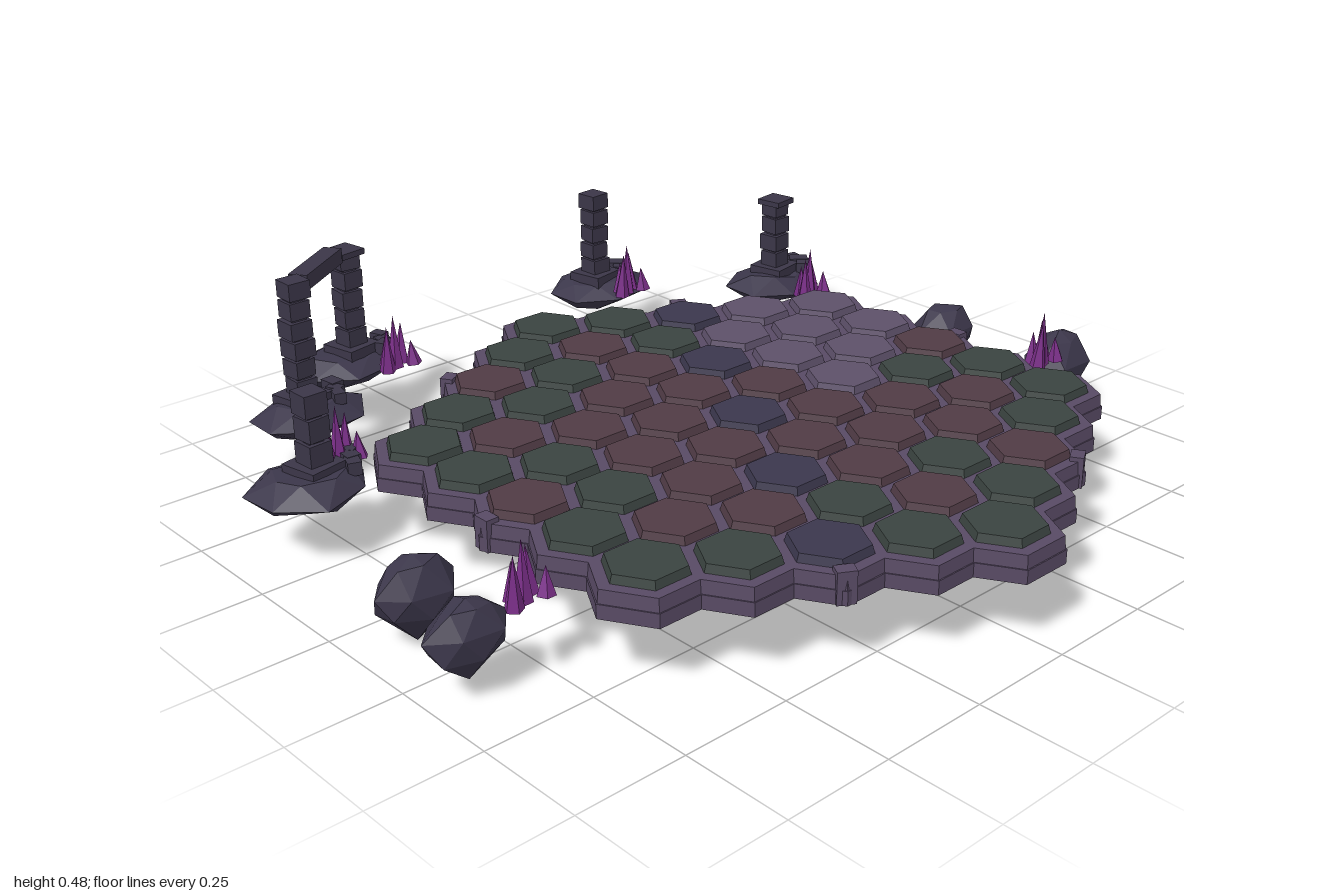
import * as THREE from 'three';

const paint = (name, color) => {
  const m = new THREE.MeshStandardMaterial({ color, flatShading: true });
  m.name = name;
  return m;
};

export function createModel() {
  const root = new THREE.Group();
  root.name = 'ruinedHexArena';
  const M = {
    trim: paint('purpleTrim', 0x584a64),
    base: paint('foundationStone', 0x4d4352),
    g: paint('mossTile', 0x3a4340),
    m: paint('maroonTile', 0x503b45),
    b: paint('blueTile', 0x3b374d),
    l: paint('lilacTile', 0x5d5069),
    rock: paint('rock', 0x3c374b),
    pillar: paint('pillarStone', 0x3b3648),
    crystal: paint('crystal', 0x7a2e88),
  };

  let seed = 7;
  const rand = () => (seed = (seed * 16807) % 2147483647) / 2147483647;

  const add = (parent, name, geo, mat, x = 0, y = 0, z = 0, ry = 0) => {
    const mesh = new THREE.Mesh(geo, mat);
    mesh.name = name;
    mesh.position.set(x, y, z);
    mesh.rotation.y = ry;
    parent.add(mesh);
    return mesh;
  };
  const group = (name, x = 0, y = 0, z = 0) => {
    const g = new THREE.Group();
    g.name = name;
    g.position.set(x, y, z);
    root.add(g);
    return g;
  };

  // Hexagonal prism standing between two heights, corners on the x axis
  const hex = (rTop, rBottom, y0, y1) =>
    new THREE.CylinderGeometry(rTop, rBottom, y1 - y0, 6, 1, false, Math.PI / 6).translate(0, (y0 + y1) / 2, 0);

  // Arena floor: nine columns of tiles, listed back to front
  const R = 0.1017, centreZ = 0.139;
  const columns = ['ggmgg', 'gmggmg', 'mgmmmmb', 'ggmmmbgg', 'gmmmbmmmg', 'ggbmmmgg', 'blllmmm', 'lllgmg', 'llmgg'];
  const lower = hex(0.122, 0.122, 0.165, 0.196);
  const upper = hex(0.116, 0.119, 0.196, 0.225);
  const tile = hex(0.083, 0.09, 0.22, 0.243);
  const floor = group('arenaFloor');
  columns.forEach((col, i) => {
    [...col].forEach((c, j) => {
      const x = (i - 4) * 1.5 * R;
      const z = centreZ + (j - (col.length - 1) / 2) * Math.sqrt(3) * R;
      add(floor, 'foundation', lower, [M.trim, M.trim, M.base], x, 0, z);
      add(floor, 'coping', upper, M.trim, x, 0, z);
      add(floor, 'tile', tile, M[c], x, 0, z);
    });
  });

  // Small blocks in the middle of the six sides
  for (let k = 0; k < 6; k++) {
    const a = (k * Math.PI) / 3;
    add(floor, 'edgeBlock', new THREE.BoxGeometry(0.03, 0.07, 0.04), M.trim,
      Math.cos(a) * 0.712, 0.2, centreZ + Math.sin(a) * 0.712, -a);
  }

  // Faceted rock from rings of [radius, height], top to bottom, closed at both ends
  const rockGeometry = (rx, rz, rings, sides) => {
    const pos = [], index = [];
    rings.forEach(([r, y], k) => {
      for (let i = 0; i < sides; i++) {
        const a = ((i + (k % 2) * 0.5) / sides) * Math.PI * 2;
        const s = r * (0.92 + rand() * 0.16);
        pos.push(Math.cos(a) * rx * s, y + (rand() - 0.5) * 0.015 * Math.min(1, r * 2), Math.sin(a) * rz * s);
      }
    });
    for (let k = 0; k < rings.length - 1; k++) {
      for (let i = 0; i < sides; i++) {
        const a = k * sides + i, b = k * sides + ((i + 1) % sides);
        const c = a + sides, d = b + sides;
        if (k % 2) index.push(a, d, c, a, b, d);
        else index.push(a, b, c, b, d, c);
      }
    }
    const geo = new THREE.BufferGeometry();
    geo.setAttribute('position', new THREE.Float32BufferAttribute(pos, 3));
    geo.setIndex(index);
    const flat = geo.toNonIndexed();
    flat.computeVertexNormals();
    return flat;
  };

  // Floating islands carrying broken pillars:
  // island x, z, half width, half depth, pillar x, z, top, has a cap
  const islands = [
    [-0.395, -0.855, 0.145, 0.105, -0.38, -0.85, 0.455, true],
    [-0.62, -0.665, 0.135, 0.11, -0.63, -0.667, 0.49, false],
    [-0.82, -0.335, 0.14, 0.12, -0.805, -0.335, 0.38, false],
    [0.405, -0.85, 0.14, 0.115, 0.388, -0.845, 0.435, false],
    [0.78, -0.555, 0.14, 0.115, 0.782, -0.555, 0.4, true],
  ];
  islands.forEach(([x, z, rx, rz, px, pz, top, cap]) => {
    const g = group('pillarIsland');
    const shape = [[0, 0.195], [0.6, 0.195], [1, 0.165], [0.6, 0.13], [0, 0.112]];
    add(g, 'island', rockGeometry(rx, rz, shape, 7), M.rock, x, 0, z);
    add(g, 'pillarFoot', new THREE.BoxGeometry(0.095, 0.03, 0.095), M.pillar, px, 0.2, pz, 0.2);
    const n = Math.round((top - 0.21) / 0.05), h = (top - 0.21) / n;
    for (let i = 0; i < n; i++) {
      const w = 0.05 + rand() * 0.006;
      add(g, 'pillarBlock', new THREE.BoxGeometry(w, h - 0.006, w), M.pillar,
        px + (rand() - 0.5) * 0.006, 0.21 + (i + 0.5) * h, pz, (rand() - 0.5) * 0.25);
    }
    add(g, 'pillarCore', new THREE.BoxGeometry(0.036, top - 0.22, 0.036), M.pillar, px, (top + 0.2) / 2, pz);
    if (cap) add(g, 'pillarCap', new THREE.BoxGeometry(0.068, 0.014, 0.068), M.pillar, px, top - 0.007, pz, 0.15);
    // Fallen rubble beside the pillar
    for (let i = 0; i < 3; i++) {
      const s = 0.025 + rand() * 0.015;
      add(g, 'rubble', new THREE.BoxGeometry(s * 1.3, s, s), M.pillar,
        px + 0.065 + i * 0.012, 0.2, pz + 0.045 - i * 0.03, rand() * 3);
    }
  });

  // Lintel joining the two tall pillars
  const lintel = add(root, 'lintel', new THREE.BoxGeometry(0.21, 0.036, 0.045), M.pillar,
    -0.515, 0.463, -0.755, Math.atan2(0.183, 0.25));
  lintel.rotation.z = -0.03;

  // Deep boulders hovering at the sides: x, z, half width, half depth, bottom, top
  const boulders = [
    [0.88, -0.033, 0.096, 0.069, 0.05, 0.215],
    [0.905, 0.302, 0.098, 0.068, 0.01, 0.235],
    [-0.875, 0.12, 0.092, 0.068, 0.015, 0.205],
    [-0.912, 0.34, 0.092, 0.062, 0.045, 0.215],
  ];
  for (const [x, z, rx, rz, y0, y1] of boulders) {
    const h = y1 - y0;
    const shape = [[0, y1], [0.55, y1 - h * 0.08], [1, y0 + h * 0.65], [0.85, y0 + h * 0.38], [0, y0]];
    add(root, 'boulder', rockGeometry(rx, rz, shape, 6), M.rock, x, 0, z);
  }

  // Crystal clusters: x, z
  const clusters = [[-0.355, -0.7], [0.385, -0.71], [0.715, -0.36], [-0.74, -0.345], [-0.815, 0.385], [0.785, 0.34]];
  const shards = [[0, 0, 0.13], [-0.03, 0.012, 0.115], [0.028, -0.018, 0.1], [0.045, 0.01, 0.06], [-0.01, -0.02, 0.08]];
  for (const [x, z] of clusters) {
    const g = group('crystalCluster', x, 0.19, z);
    for (const [dx, dz, h] of shards) {
      const shard = add(g, 'crystal', new THREE.ConeGeometry(0.02, h, 5).translate(0, h / 2, 0), M.crystal, dx, 0, dz, rand() * 3);
      shard.rotation.z = -dx * 2;
    }
  }

  return root;
}
